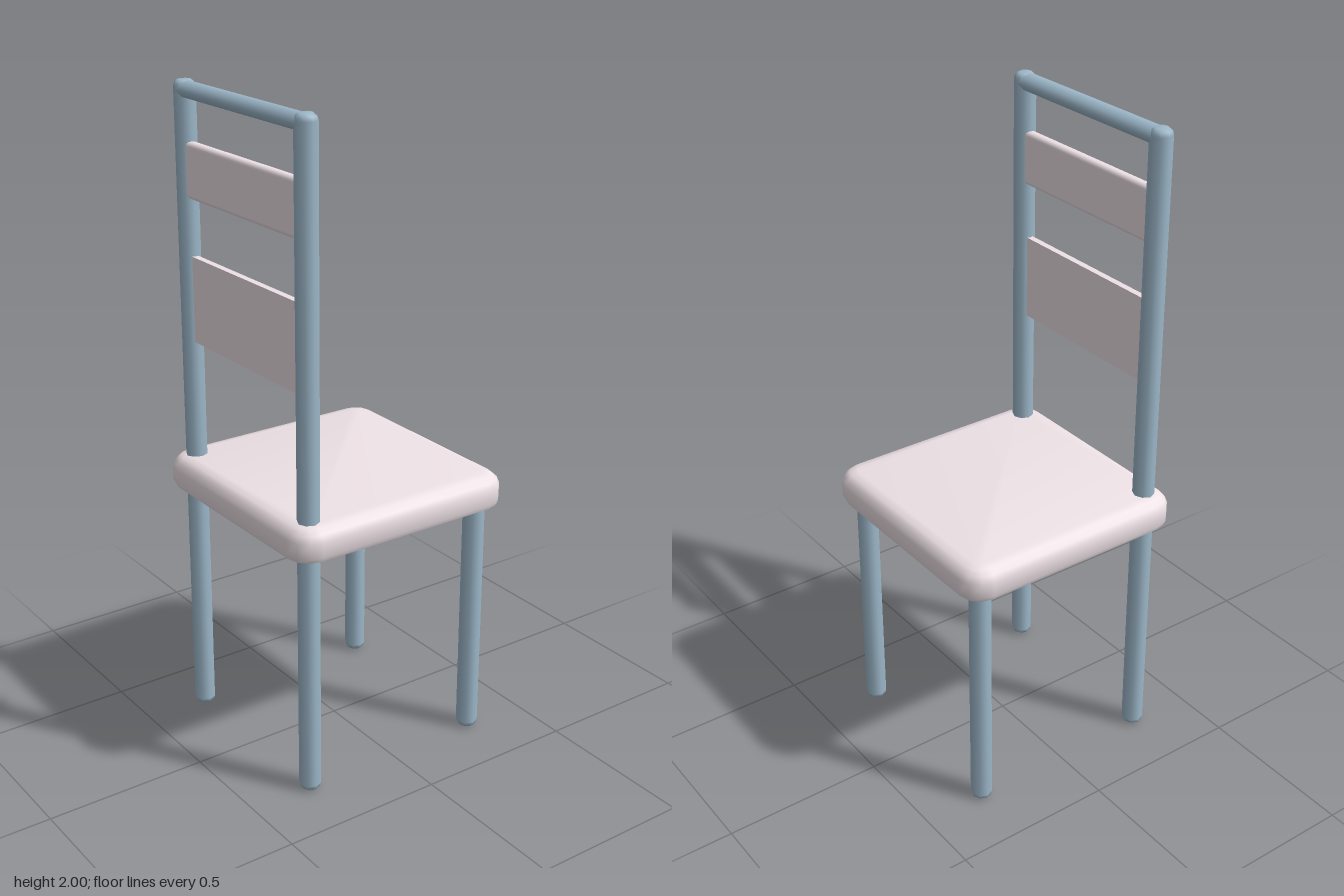
import * as THREE from 'three';
import { mergeVertices, toCreasedNormals } from 'three/addons/utils/BufferGeometryUtils.js';
import { RoundedBoxGeometry } from 'three/addons/geometries/RoundedBoxGeometry.js';

const frameMat = new THREE.MeshStandardMaterial({ color: 0x9db8ca });
const padMat = new THREE.MeshStandardMaterial({ color: 0xeee2e6 });

// Round bar standing on y = 0 with softened ends
function barGeometry(length, r, tip = 0.02) {
  const profile = [
    [0, 0], [r * 0.6, 0], [r * 0.9, tip * 0.4], [r, tip],
    [r, length - tip], [r * 0.9, length - tip * 0.4], [r * 0.6, length], [0, length],
  ].map(([x, y]) => new THREE.Vector2(x, y));
  return new THREE.LatheGeometry(profile, 8);
}

// Cushion: stacked rings of a square outline with rounded corners
function seatGeometry() {
  const half = 0.374, corner = 0.074, steps = 3;
  const layers = [[0.025, 0.765], [0.007, 0.77], [0, 0.785], [0, 0.83],
    [0.008, 0.85], [0.025, 0.864], [0.05, 0.869]];
  const pos = [], index = [];
  const n = 4 * (steps + 1);
  for (const [inset, y] of layers) {
    const r = corner - inset, c = half - corner;
    for (let q = 0; q < 4; q++) {
      const sx = q === 0 || q === 3 ? 1 : -1, sz = q < 2 ? 1 : -1;
      for (let i = 0; i <= steps; i++) {
        const a = (q + i / steps) * Math.PI / 2;
        pos.push(sx * c + r * Math.cos(a), y, sz * c + r * Math.sin(a));
      }
    }
  }
  for (let l = 0; l < layers.length - 1; l++) {
    for (let i = 0; i < n; i++) {
      const a = l * n + i, b = l * n + (i + 1) % n;
      index.push(a, a + n, b, b, a + n, b + n);
    }
  }
  // flat underside and top
  const top = (layers.length - 1) * n;
  for (let i = 1; i < n - 1; i++) {
    index.push(0, i, i + 1, top, top + i + 1, top + i);
  }
  const g = new THREE.BufferGeometry();
  g.setAttribute('position', new THREE.Float32BufferAttribute(pos, 3));
  g.setIndex(index);
  return toCreasedNormals(mergeVertices(g), 0.75);
}

export function createModel() {
  const group = new THREE.Group();
  const add = (name, geometry, material, x, y, z) => {
    const mesh = new THREE.Mesh(geometry, material);
    mesh.name = name;
    mesh.position.set(x, y, z);
    group.add(mesh);
    return mesh;
  };

  add('seat', seatGeometry(), padMat, 0, 0, 0);

  // Two tall back posts and two short legs
  const post = barGeometry(2, 0.033);
  const leg = barGeometry(0.8, 0.033);
  for (const [side, x] of [['left', 0.3], ['right', -0.3]]) {
    add(side + 'BackPost', post, frameMat, x, 0, 0.3);
    add(side + 'Leg', leg, frameMat, x, 0, -0.3);
  }

  // Rail joining the post tops
  const rail = add('topRail', barGeometry(0.64, 0.033), frameMat, 0.32, 1.974, 0.3);
  rail.rotation.z = Math.PI / 2;
  rail.scale.x = 0.78;

  // Backrest slats
  add('upperSlat', new RoundedBoxGeometry(0.58, 0.165, 0.036, 3, 0.015), padMat, 0, 1.747, 0.3);
  add('lowerSlat', new THREE.BoxGeometry(0.58, 0.26, 0.02), padMat, 0, 1.365, 0.3);

  return group;
}
